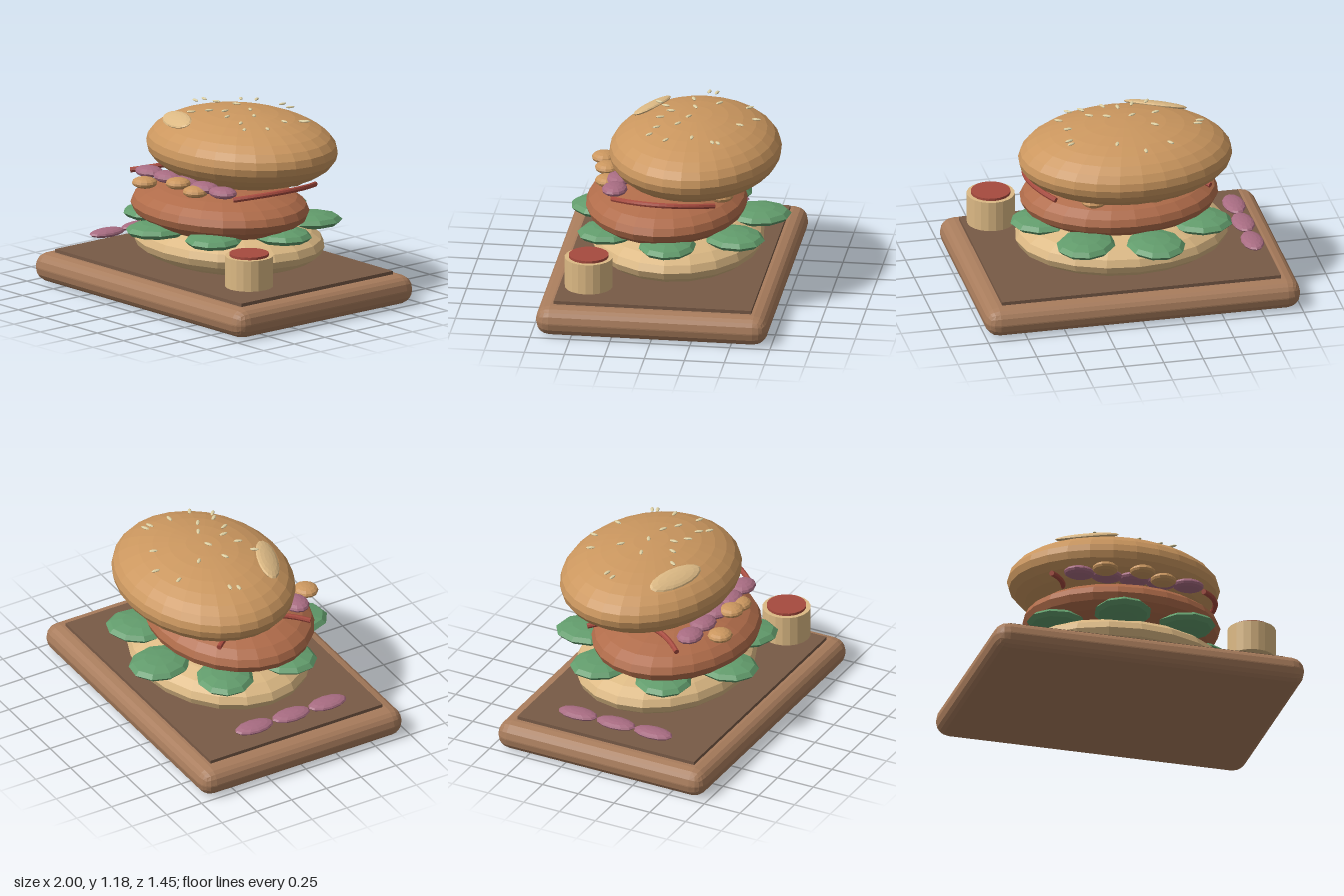
import * as THREE from 'three';
import { RoundedBoxGeometry } from 'three/addons/geometries/RoundedBoxGeometry.js';

const paint = (name, color) => new THREE.MeshStandardMaterial({ name, color, flatShading: true });

export function createModel() {
  const wood = paint('wood', 0xa87c5c);
  const darkWood = paint('dark wood', 0x785a46);
  const crust = paint('crust', 0xcb975f);
  const cream = paint('cream', 0xdcb984);
  const meat = paint('meat', 0xb06c4a);
  const leaf = paint('leaf green', 0x629c6c);
  const purple = paint('onion purple', 0xa86c82);
  const red = paint('red', 0xa64a3e);
  const seed = paint('seed', 0xdccfa2);

  const group = new THREE.Group();

  function add(name, geometry, material, [x, y, z]) {
    const mesh = new THREE.Mesh(geometry, material);
    mesh.name = name;
    mesh.position.set(x, y, z);
    group.add(mesh);
    return mesh;
  }

  // Squashed sphere given by its three half sizes
  function blob(name, material, position, [a, b, c], sides = 12, rows = 8) {
    const geometry = new THREE.SphereGeometry(1, sides, rows).scale(a, b, c);
    return add(name, geometry, material, position);
  }

  // Serving board
  add('board', new RoundedBoxGeometry(2, 0.184, 1.45, 2, 0.088), wood, [0, 0.092, 0]);
  add('boardInlay', new THREE.BoxGeometry(1.77, 0.025, 1.235), darkWood, [0, 0.193, 0]);

  // Buns and patty
  const bun = { y: 0.91, z: -0.147, a: 0.67, b: 0.235, c: 0.533 };
  blob('bottomBun', cream, [0, 0.335, -0.04], [0.67, 0.175, 0.535], 20, 12);
  blob('patty', meat, [0, 0.56, 0.033], [0.622, 0.17, 0.5], 24, 12);
  blob('topBun', crust, [0, bun.y, bun.z], [bun.a, bun.b, bun.c], 28, 16);

  const bunHeight = (x, z) =>
    bun.y + bun.b * Math.sqrt(1 - (x / bun.a) ** 2 - ((z - bun.z) / bun.c) ** 2);

  // Pale glaze patch lying along the bun's surface
  const gx = -0.26, gz = 0.16, gy = bunHeight(gx, gz);
  const glaze = blob('glaze', cream, [gx, gy, gz], [0.2, 0.022, 0.075], 16, 8);
  const normal = new THREE.Vector3(gx / bun.a ** 2, (gy - bun.y) / bun.b ** 2, (gz - bun.z) / bun.c ** 2);
  glaze.quaternion.setFromUnitVectors(new THREE.Vector3(0, 1, 0), normal.normalize());
  glaze.rotateY(-0.38);

  // Sesame seeds: x, z, turn
  const seeds = [
    [-0.22, -0.455, -1.0], [-0.05, -0.52, 1.5], [0.115, -0.44, 1.2], [-0.16, -0.275, -0.7],
    [0.385, -0.34, 0.5], [0.39, -0.305, 0.4], [0.37, -0.175, 0], [-0.445, -0.22, -0.2],
    [-0.47, -0.17, -0.1], [-0.2, -0.11, 0.4], [-0.045, -0.14, 0.5], [0.11, -0.12, -0.5],
    [0.21, -0.065, -0.6], [0.395, -0.015, -0.5], [0.015, 0.005, 1.6], [-0.085, 0.05, 1.2],
    [0.1, 0.06, -1.2], [-0.19, 0.105, 1.0], [0.235, 0.065, -0.9], [0.31, 0.1, -0.7],
  ];
  for (const [x, z, turn] of seeds) {
    const s = blob('sesameSeed', seed, [x, bunHeight(x, z) + 0.03, z], [0.029, 0.007, 0.012], 8, 6);
    s.rotation.y = turn;
  }

  // Ring of lettuce leaves
  for (let i = 0; i < 7; i++) {
    const t = (i / 7) * Math.PI * 2;
    const position = [Math.cos(t) * 0.5, 0.455, -0.04 + Math.sin(t) * 0.5];
    blob('lettuceLeaf', leaf, position, [0.205, 0.05, 0.18], 10, 6).rotation.y = -t;
  }

  // Onion pieces under the top bun
  for (let i = -2; i <= 2; i++) {
    blob('onionPiece', purple, [i * 0.175, 0.757, 0.31], [0.1, 0.035, 0.08]);
  }

  // Crisp fried bites
  const bites = [
    [-0.225, 0.735, 0.455], [0.03, 0.77, 0.4], [0.17, 0.74, 0.38],
    [0.24, 0.705, -0.34], [-0.14, 0.705, -0.34],
  ];
  for (const p of bites) blob('friedBite', crust, p, [0.082, 0.036, 0.078]);

  // Bacon strips, both bowed the same way
  const curve = new THREE.QuadraticBezierCurve3(
    new THREE.Vector3(0.45, 0.73, 0.31),
    new THREE.Vector3(0.745, 0.8, 0),
    new THREE.Vector3(0.48, 0.73, -0.33),
  );
  for (const x of [0, -0.98]) {
    const strip = add('baconStrip', new THREE.TubeGeometry(curve, 16, 0.017, 8), red, [x, 0, 0]);
    // Closed ends
    for (const [t, sign] of [[0, -1], [1, 1]]) {
      const cap = new THREE.Mesh(new THREE.CircleGeometry(0.017, 8), red);
      cap.name = 'baconEnd';
      cap.position.copy(curve.getPoint(t));
      cap.lookAt(cap.position.clone().addScaledVector(curve.getTangent(t), sign));
      strip.add(cap);
    }
  }

  // Pickled onions on the board
  for (const z of [-0.245, 0.02, 0.28]) {
    blob('pickledOnion', purple, [-0.785, 0.275, z], [0.07, 0.026, 0.132]);
  }

  // Sauce cup
  add('sauceCup', new THREE.CylinderGeometry(0.15, 0.15, 0.195, 20), cream, [0.727, 0.353, 0.42]);
  add('sauce', new THREE.CylinderGeometry(0.123, 0.123, 0.025, 20), red, [0.727, 0.454, 0.42]);

  return group;
}
